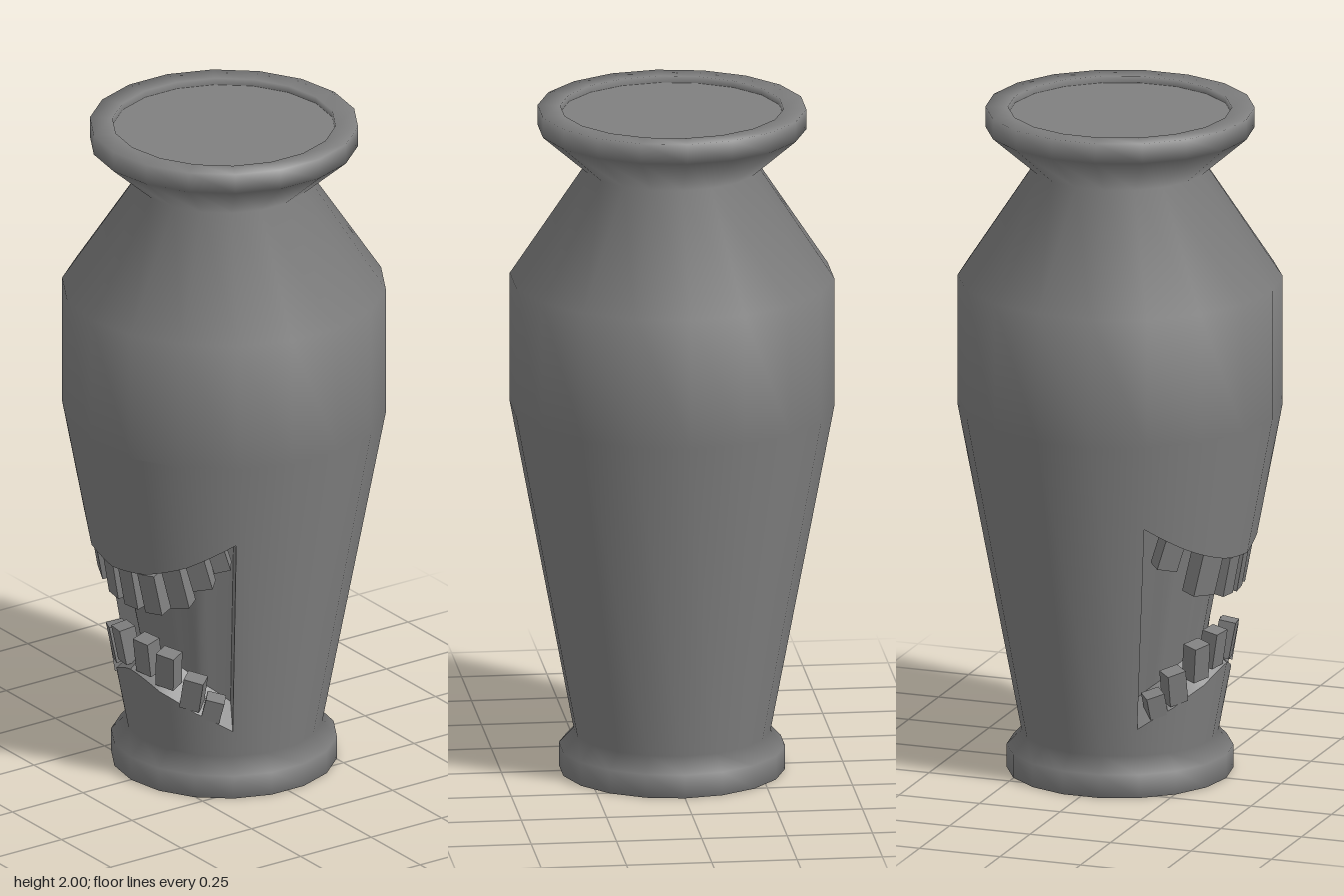
import * as THREE from 'three';
import { toCreasedNormals } from 'three/addons/utils/BufferGeometryUtils.js';

const SIDES = 18, Y0 = 0.115, Y1 = 1.1, R0 = 0.287, R1 = 0.473;
const CORNER = 60;                        // mouth corners, degrees either side of -x
const rad = THREE.MathUtils.degToRad;
const material = new THREE.MeshStandardMaterial({ color: 0x808080 });
const doubleSided = new THREE.MeshStandardMaterial({ color: 0x808080, side: THREE.DoubleSide });

// Profile from foot to rim; the belly is the span starting at BELLY
const PROFILE = [[0.3, 0], [0.33, 0], [0.33, 0.07], [R0, Y0], [R1, Y1], [R1, 1.49],
  [0.255, 1.82], [0.392, 1.94], [0.392, 2], [0.326, 2], [0.326, 1.98]];
const BELLY = 3;

// Point on the 18-sided belly, at degrees from -x towards +z
const bellyT = y => (y - Y0) / (Y1 - Y0);
function bellyPoint(deg, y, inset = 0) {
  const local = ((deg % 20) + 20) % 20 - 10;
  const radius = THREE.MathUtils.lerp(R0, R1, bellyT(y));
  const r = radius * Math.cos(rad(10)) / Math.cos(rad(local)) - inset;
  return [-r * Math.cos(rad(deg)), y, r * Math.sin(rad(deg))];
}

// Mouth edges: the lips come closest in the middle
const upperLip = deg => 0.69 + 0.15 * (deg / CORNER) ** 2;
const lowerLip = deg => 0.35 - 0.15 * Math.abs(deg / CORNER) ** 1.2;

// Surface through columns of points, columns running anticlockwise seen from outside
function sheet(columns) {
  const rows = columns[0].length, index = [];
  for (let i = 0; i < columns.length - 1; i++) {
    for (let j = 0; j < rows - 1; j++) {
      const a = i * rows + j, b = a + rows;
      index.push(a, b, b + 1, a, b + 1, a + 1);
    }
  }
  const geometry = new THREE.BufferGeometry();
  geometry.setAttribute('position', new THREE.Float32BufferAttribute(columns.flat(2), 3));
  geometry.setIndex(index);
  geometry.computeVertexNormals();
  return geometry;
}

// Turned body, left open where the mouth strips go
function turnedBody() {
  const geometry = new THREE.LatheGeometry(PROFILE.map(p => new THREE.Vector2(...p)), SIDES, Math.PI / 2);
  const spans = PROFILE.length - 1, all = geometry.index.array, kept = [];
  for (let q = 0; q < all.length / 6; q++) {
    const side = Math.floor(q / spans);
    const open = q % spans === BELLY && side >= 6 && side < 12;
    if (!open) kept.push(...all.slice(q * 6, q * 6 + 6));
  }
  geometry.setIndex(kept);
  return geometry;
}

// Strip of belly wall whose shading continues that of the turned body
function bellyStrip(angles, low, high, bodyNormals) {
  const columns = angles.map(a => [bellyPoint(a, low(a)), bellyPoint(a, high(a))]);
  const bottom = new THREE.Vector2(bodyNormals.getX(BELLY), bodyNormals.getY(BELLY));
  const top = new THREE.Vector2(bodyNormals.getX(BELLY + 1), bodyNormals.getY(BELLY + 1));
  const normals = angles.flatMap((a, i) => columns[i].flatMap(p => {
    const n = bottom.clone().lerp(top, bellyT(p[1]));
    return new THREE.Vector3(-n.x * Math.cos(rad(a)), n.y, n.x * Math.sin(rad(a))).normalize().toArray();
  }));
  const geometry = sheet(columns);
  geometry.setAttribute('normal', new THREE.Float32BufferAttribute(normals, 3));
  return geometry;
}

export function createModel() {
  const model = new THREE.Group();
  const add = (name, geometry, mat = material, parent = model) => {
    const mesh = new THREE.Mesh(geometry, mat);
    mesh.name = name;
    parent.add(mesh);
    return mesh;
  };

  // Vase body with its flat ends
  const body = turnedBody();
  add('body', body);
  const base = add('base', new THREE.CircleGeometry(0.3, SIDES));
  base.rotation.x = Math.PI / 2;
  const top = add('topDisc', new THREE.CircleGeometry(0.326, SIDES));
  top.rotation.x = -Math.PI / 2;
  top.position.y = 1.98;

  // Belly wall above and below the mouth
  const angles = [];
  for (let a = -CORNER; a <= CORNER; a += 5) angles.push(a);
  const normals = body.attributes.normal;
  add('bellyAboveMouth', bellyStrip(angles, upperLip, () => Y1, normals));
  add('bellyBelowMouth', bellyStrip(angles, () => Y0, lowerLip, normals));

  // Recess of the mouth: sloping lower lip, corners, back wall and upper lip
  const recessColumn = (a, depth) => [
    bellyPoint(a, lowerLip(a)), bellyPoint(a, lowerLip(a) + depth * 0.7, depth),
    bellyPoint(a, upperLip(a), depth), bellyPoint(a, upperLip(a)),
  ];
  const recess = [recessColumn(-CORNER, 0), ...angles.map(a => recessColumn(a, 0.09)), recessColumn(CORNER, 0)];
  add('mouthRecess', toCreasedNormals(sheet(recess), rad(35)), doubleSided);

  // Teeth: angle, height of centre, length, width
  const upper = [[-47, 0.745, 0.09, 0.065], [-26, 0.665, 0.13, 0.085], [-8, 0.635, 0.12, 0.06],
    [6, 0.635, 0.13, 0.06], [20, 0.64, 0.13, 0.06], [33, 0.675, 0.13, 0.06],
    [44, 0.735, 0.11, 0.06], [53, 0.785, 0.08, 0.05]];
  const lower = [[10, 0.41, 0.11, 0.06], [24, 0.385, 0.11, 0.06], [38, 0.32, 0.1, 0.06], [49, 0.27, 0.07, 0.055]];
  const mirrored = lower.map(([deg, ...rest]) => [-deg, ...rest]);

  const addTeeth = (name, teeth, inset, roll) => {
    const group = new THREE.Group();
    group.name = name;
    for (const [deg, y, length, width] of teeth) {
      const tooth = add('tooth', new THREE.BoxGeometry(width, length, 0.05), material, group);
      tooth.position.set(...bellyPoint(deg, y, inset));
      const facing = Math.atan2(-Math.cos(rad(deg)), Math.sin(rad(deg)));
      tooth.rotation.set(0.18, facing, roll * deg / CORNER, 'YXZ');
    }
    model.add(group);
  };
  addTeeth('upperTeeth', upper, 0.035, 0.3);
  addTeeth('lowerTeeth', [...mirrored, ...lower], 0.025, -0.3);

  return model;
}
